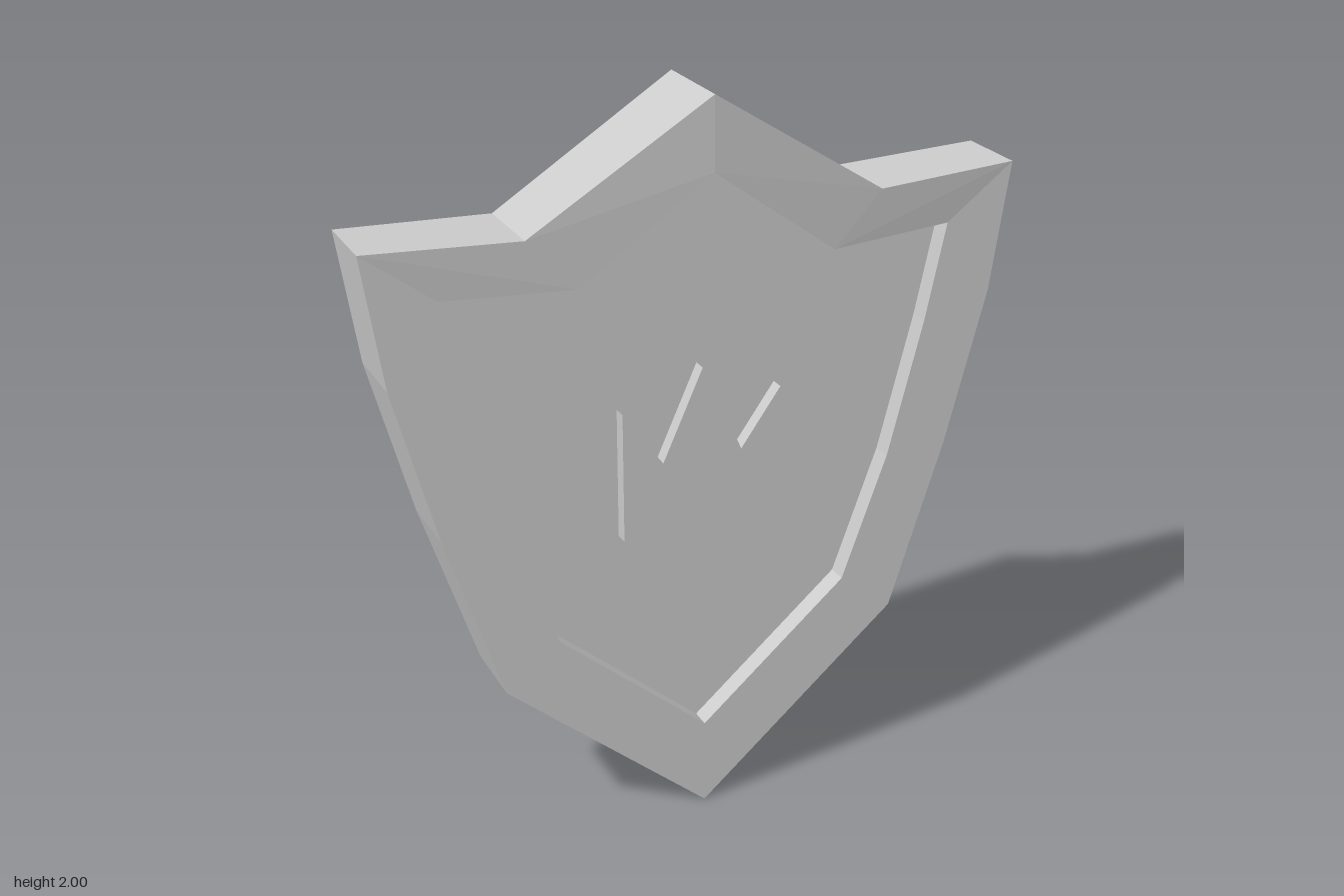
import * as THREE from 'three';

const material = new THREE.MeshStandardMaterial({ color: 0xcccccc, flatShading: true });

// Right halves of the outlines, from bottom tip up to the peak
const OUTER = [[0, 0], [0.56, 0.485], [0.71, 0.95], [0.82, 1.37], [0.87, 1.715], [0.475, 1.7], [0, 2]];
const FRONT_OPENING = [[0, 0.245], [0.41, 0.6], [0.535, 0.945], [0.63, 1.315], [0.685, 1.575], [0.345, 1.56], [0, 1.81]];
const BACK_OPENING = [[0, 0.165], [0.46, 0.565], [0.62, 0.945], [0.73, 1.34], [0.783, 1.615], [0.38, 1.605], [0, 1.86]];
const CROWN = [[0, 0.84], [0.22, 0.84], [0.22, 1.195], [0.11, 1.04], [0, 1.285]];

// Front rim depth: flat sides, swelling towards the notch and peak
const RIM_Z = [0.077, 0.077, 0.077, 0.077, 0.077, 0.1, 0.125];
const BACK_Z = -0.125, PANEL_FRONT_Z = 0.022, PANEL_BACK_Z = -0.067, CROWN_Z = 0.06;

// Closed, counter-clockwise outline from a right half
function mirrored(half) {
  const left = half.slice(1, -1).reverse().map(([x, ...rest]) => [-x, ...rest]);
  return [...half, ...left];
}

function ring(half, z) {
  return mirrored(half.map(([x, y], i) => [x, y, Array.isArray(z) ? z[i] : z]));
}

function shapeOf(half) {
  return new THREE.Shape(mirrored(half).map(([x, y]) => new THREE.Vector2(x, y)));
}

// Skin consecutive rings, with the quad diagonals mirrored left to right
function loft(rings) {
  const n = rings[0].length;
  const positions = [];
  for (let r = 0; r < rings.length - 1; r++) {
    const a = rings[r], b = rings[r + 1];
    for (let i = 0; i < n; i++) {
      const j = (i + 1) % n;
      const corners = i < n / 2
        ? [a[i], b[i], a[j], b[i], b[j], a[j]]
        : [a[i], b[i], b[j], a[i], b[j], a[j]];
      positions.push(...corners.flat());
    }
  }
  const geometry = new THREE.BufferGeometry();
  geometry.setAttribute('position', new THREE.Float32BufferAttribute(positions, 3));
  geometry.computeVertexNormals();
  return geometry;
}

export function createModel() {
  const shield = new THREE.Group();
  shield.name = 'shield';

  function add(name, geometry, z = 0) {
    const mesh = new THREE.Mesh(geometry, material);
    mesh.name = name;
    mesh.position.z = z;
    shield.add(mesh);
    return mesh;
  }

  // Rim with recess walls on both sides
  add('rim', loft([
    ring(FRONT_OPENING, PANEL_FRONT_Z),
    ring(FRONT_OPENING, RIM_Z),
    ring(OUTER, RIM_Z),
    ring(OUTER, BACK_Z),
    ring(BACK_OPENING, BACK_Z),
    ring(BACK_OPENING, PANEL_BACK_Z),
  ]));

  // Recessed panels
  add('frontPanel', new THREE.ShapeGeometry(shapeOf(FRONT_OPENING)), PANEL_FRONT_Z);
  add('backPanel', new THREE.ShapeGeometry(shapeOf(BACK_OPENING)).rotateY(Math.PI), PANEL_BACK_Z);

  // Raised crown emblem
  add('crown', new THREE.ExtrudeGeometry(shapeOf(CROWN), {
    depth: CROWN_Z - PANEL_FRONT_Z + 0.01, bevelEnabled: false,
  }), PANEL_FRONT_Z - 0.01);

  return shield;
}
